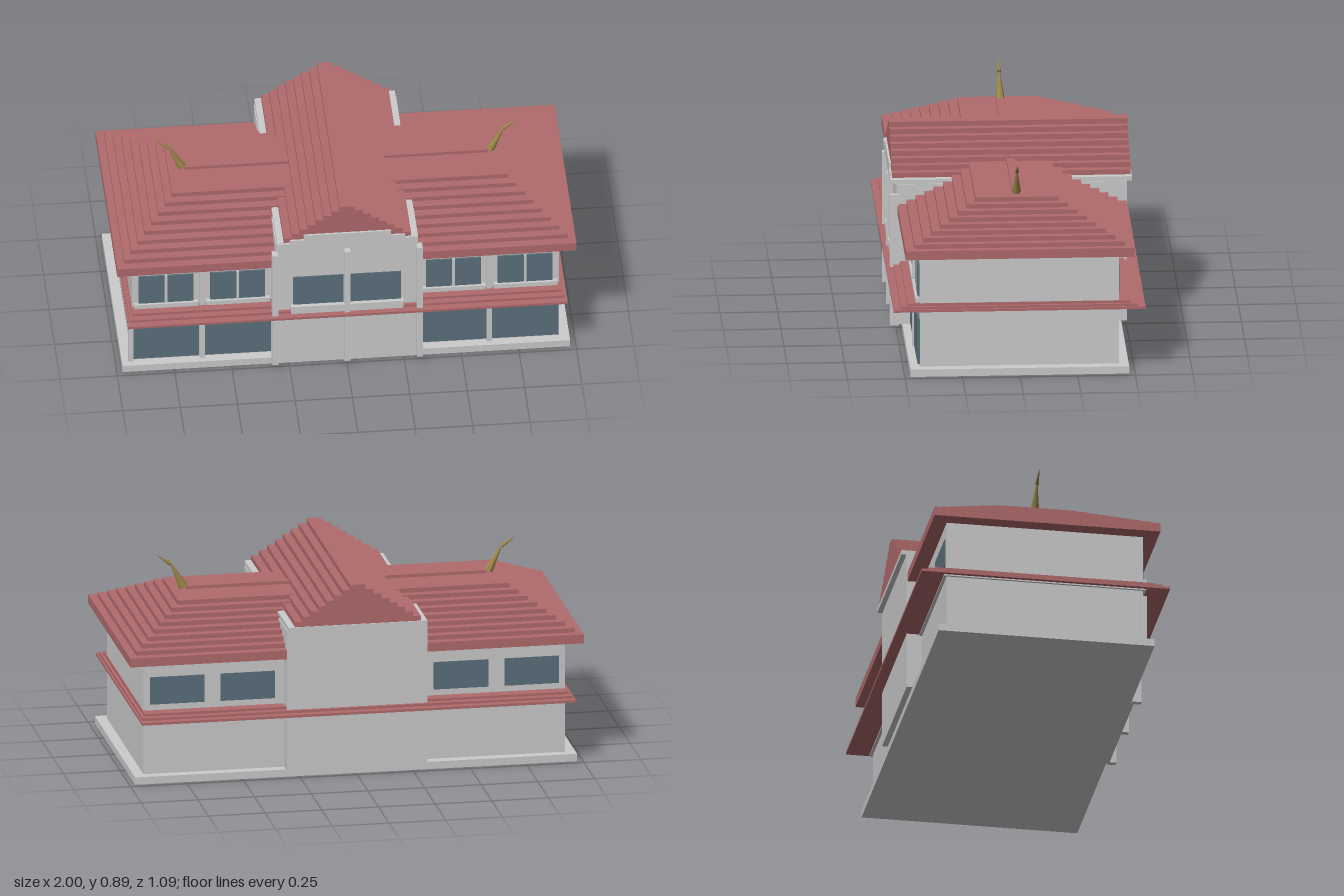
import * as THREE from 'three';

const mat = (color) => new THREE.MeshStandardMaterial({ color, flatShading: true });

export function createModel() {
  const model = new THREE.Group();
  const grey = mat(0xcccccc), red = mat(0xb06a6c), glass = mat(0x5a707c), gold = mat(0x9a8648);

  // Box given by its lower and upper bounds on each axis
  const box = (name, x0, x1, y0, y1, z0, z1, material = grey) => {
    const mesh = new THREE.Mesh(new THREE.BoxGeometry(x1 - x0, y1 - y0, z1 - z0), material);
    mesh.name = name;
    mesh.position.set((x0 + x1) / 2, (y0 + y1) / 2, (z0 + z1) / 2);
    model.add(mesh);
    return mesh;
  };
  // Box centred on x and z
  const slab = (name, hx, y0, y1, hz, material) => box(name, -hx, hx, y0, y1, -hz, hz, material);

  // Base and wall blocks
  slab('plinth', 0.975, 0, 0.033, 0.475);
  slab('wingWalls', 0.93, 0.033, 0.54, 0.432);
  slab('centreBlock', 0.31, 0.033, 0.667, 0.5);

  // Canopy between the floors
  slab('canopyTrim', 0.94, 0.281, 0.287, 0.445);
  slab('canopyLower', 0.957, 0.287, 0.298, 0.547, red);
  slab('canopyMiddle', 0.948, 0.298, 0.309, 0.515, red);
  slab('canopyUpper', 0.935, 0.309, 0.32, 0.485, red);

  // Stepped hip roof with ridge
  for (let i = 0; i < 9; i++) {
    const top = 0.578 + 0.0195 * i;
    slab('hipRoofStep', 1 - 0.0335 * i, i ? top - 0.0195 : 0.538, top, 0.497 - 0.0395 * i, red);
  }
  slab('hipRoofRidge', 0.66, 0.734, 0.748, 0.018, red);

  // Stepped cross gable on its eave
  slab('gableEave', 0.306, 0.667, 0.687, 0.522);
  for (let i = 0; i < 8; i++) {
    const y = 0.687 + 0.0222 * i;
    slab('gableRoofStep', 0.277 - 0.0347 * i, y, y + 0.0222, 0.518, red);
  }
  const panel = new THREE.Shape([
    [-0.3, 0.667], [0.3, 0.667], [0.3, 0.685], [0.25, 0.685], [0.25, 0.702], [0.19, 0.702], [0.19, 0.727],
    [-0.19, 0.727], [-0.19, 0.702], [-0.25, 0.702], [-0.25, 0.685], [-0.3, 0.685],
  ].map(([x, y]) => new THREE.Vector2(x, y)));
  const gablePanel = new THREE.Mesh(new THREE.ExtrudeGeometry(panel, { depth: 0.027, bevelEnabled: false }), grey);
  gablePanel.name = 'gablePanel';
  gablePanel.position.z = 0.5;
  model.add(gablePanel);

  // Entrance columns, windows and sill on the centre block
  for (const x of [-0.315, 0, 0.315]) box('centreColumn', x - 0.013, x + 0.013, 0.033, 0.625, 0.49, 0.53);
  box('centreSill', -0.245, 0.245, 0.3, 0.337, 0.49, 0.523);
  for (const s of [-1, 1]) {
    box('centreWindow', s * 0.125 - 0.11, s * 0.125 + 0.11, 0.337, 0.485, 0.49, 0.505, glass);
  }

  // Wing windows, sills and columns
  for (const s of [-1, 1]) {
    for (const x of [0.47, 0.782]) {
      const c = s * x;
      for (const t of [-1, 1]) {
        box('upperWindow', c + t * 0.062 - 0.057, c + t * 0.062 + 0.057, 0.34, 0.485, 0.42, 0.44, glass);
      }
      box('mullion', c - 0.006, c + 0.006, 0.34, 0.485, 0.42, 0.442);
      box('upperSill', c - 0.139, c + 0.139, 0.318, 0.341, 0.42, 0.451);
      box('rearWindow', c - 0.12, c + 0.12, 0.347, 0.47, -0.437, -0.42, glass);
      box('shopWindow', c - 0.144, c + 0.144, 0.043, 0.245, 0.42, 0.442, glass);
    }
    const c = s * 0.625;
    box('lowerColumn', c - 0.012, c + 0.012, 0.033, 0.283, 0.42, 0.449);
    box('upperColumn', c - 0.012, c + 0.012, 0.318, 0.538, 0.42, 0.447);
  }
  box('cornerColumn', -0.947, -0.925, 0.033, 0.25, 0.42, 0.447);

  // Curved roof finials made from two tapering horns
  const horn = (name, from, to, radius) => {
    const a = new THREE.Vector3(...from), b = new THREE.Vector3(...to);
    const dir = b.clone().sub(a);
    const mesh = new THREE.Mesh(new THREE.ConeGeometry(radius, dir.length(), 8), gold);
    mesh.name = name;
    mesh.position.copy(a).add(b).multiplyScalar(0.5);
    mesh.quaternion.setFromUnitVectors(new THREE.Vector3(0, 1, 0), dir.normalize());
    model.add(mesh);
  };
  for (const s of [-1, 1]) {
    horn('finialBase', [s * 0.673, 0.742, 0], [s * 0.74, 0.87, 0], 0.02);
    horn('finialTip', [s * 0.73, 0.848, 0], [s * 0.795, 0.893, 0], 0.009);
  }
  return model;
}
